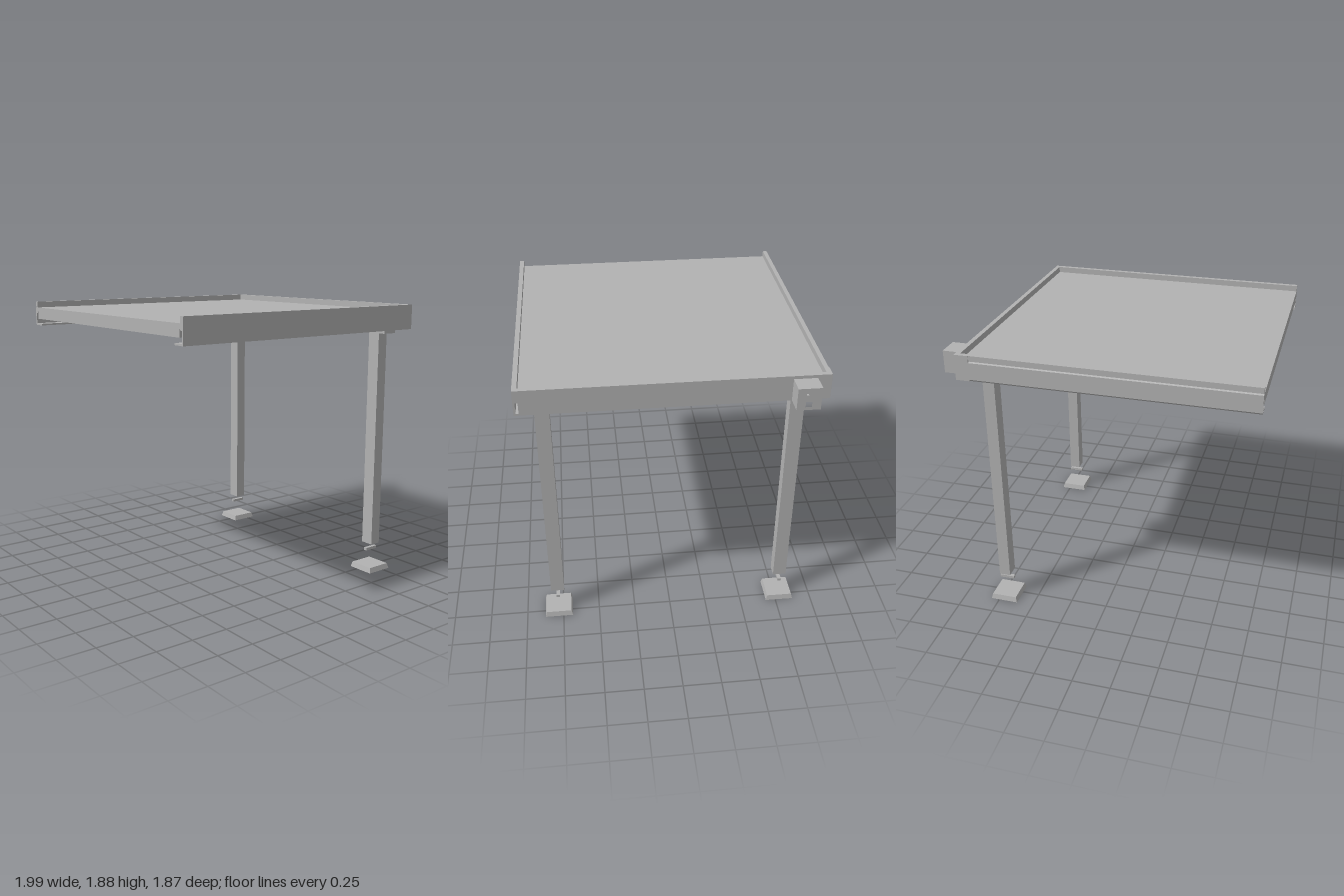
import * as THREE from 'three';

export function createModel() {
  const model = new THREE.Group();
  const grey = new THREE.MeshStandardMaterial({ color: 0xb2b2b2 });
  grey.name = 'aluminiumGrey';

  const add = (name, geometry, parent = model) => {
    const mesh = new THREE.Mesh(geometry, grey);
    mesh.name = name;
    parent.add(mesh);
    return mesh;
  };

  // Box given by its lower and upper limits on each axis
  const box = (name, [x0, x1], [y0, y1], [z0, z1], parent) => {
    const geometry = new THREE.BoxGeometry(x1 - x0, y1 - y0, z1 - z0);
    geometry.translate((x0 + x1) / 2, (y0 + y1) / 2, (z0 + z1) / 2);
    return add(name, geometry, parent);
  };

  // Cross-section of [z, y] points, extruded along x
  const alongX = (points, x0, x1, holes = []) => {
    const toVectors = list => list.map(([z, y]) => new THREE.Vector2(-z, y));
    const shape = new THREE.Shape(toVectors(points));
    holes.forEach(hole => shape.holes.push(new THREE.Path(toVectors(hole))));
    const geometry = new THREE.ExtrudeGeometry(shape, { depth: x1 - x0, bevelEnabled: false });
    return geometry.rotateY(Math.PI / 2).translate(x0, 0, 0);
  };
  const rectangle = (z0, z1, y0, y1) => [[z0, y0], [z1, y0], [z1, y1], [z0, y1]];

  // Roof panel with cross beams beneath
  box('roofPanel', [-1, 0.84], [1.81, 1.84], [-0.905, 0.905]);
  box('middleBeam', [-0.03, 0.03], [1.755, 1.81], [-0.9, 0.9]);
  box('endBeam', [-1, -0.95], [1.76, 1.81], [-0.9, 0.9]);

  // Side rails: upright wall, thick rim at the top, flange at the bottom
  const frontProfile = [
    [0.935, 1.715], [0.935, 1.88], [0.905, 1.88], [0.905, 1.8],
    [0.923, 1.8], [0.923, 1.727], [0.85, 1.727], [0.85, 1.715],
  ];
  add('frontRail', alongX(frontProfile, -1, 0.87));

  // The back rail has a shallow groove below its rim
  const backProfile = [
    [-0.93, 1.715], [-0.937, 1.725], [-0.937, 1.835], [-0.925, 1.84], [-0.925, 1.85],
    [-0.933, 1.85], [-0.933, 1.88], [-0.905, 1.88], [-0.905, 1.8],
    [-0.923, 1.8], [-0.923, 1.727], [-0.85, 1.727], [-0.85, 1.715],
  ];
  add('backRail', alongX(backProfile, -1, 0.78));
  box('backCornerCap', [0.78, 0.87], [1.715, 1.88], [-0.937, -0.905]);

  // Gutter beam carried by the posts
  box('gutterWall', [0.84, 0.87], [1.715, 1.88], [-0.905, 0.905]);
  box('gutterFloor', [0.62, 0.84], [1.715, 1.727], [-0.92, 0.92]);

  // Outlet block with two square sockets
  const sockets = [1.735, 1.815].map(y => rectangle(-0.795, -0.757, y, y + 0.036));
  add('outletBlock', alongX(rectangle(-0.85, -0.705, 1.715, 1.86), 0.9, 0.985, sockets));
  box('outletBack', [0.87, 0.9], [1.715, 1.86], [-0.85, -0.705]);

  // Posts with head brackets, foot clips and base plates
  for (const [side, z] of [['front', 0.78], ['back', -0.777]]) {
    const leg = new THREE.Group();
    leg.name = side + 'Leg';
    leg.position.set(0.713, 0, z);
    model.add(leg);

    box('post', [-0.038, 0.038], [0.19, 1.695], [-0.045, 0.045], leg);
    box('headPlate', [-0.05, 0.055], [1.69, 1.715], [-0.018, 0.105], leg);
    box('headTab', [0.052, 0.07], [1.685, 1.715], [-0.055, -0.015], leg);
    box('footClip', [-0.05, 0.05], [0.138, 0.157], [-0.012, 0.012], leg);

    // Square base plate, tapering slightly towards the top
    const base = new THREE.CylinderGeometry(0.086 * Math.SQRT2, 0.095 * Math.SQRT2, 0.036, 4, 1)
      .rotateY(Math.PI / 4).translate(0, 0.018, 0).toNonIndexed();
    base.computeVertexNormals();
    add('basePlate', base, leg);
  }

  return model;
}
